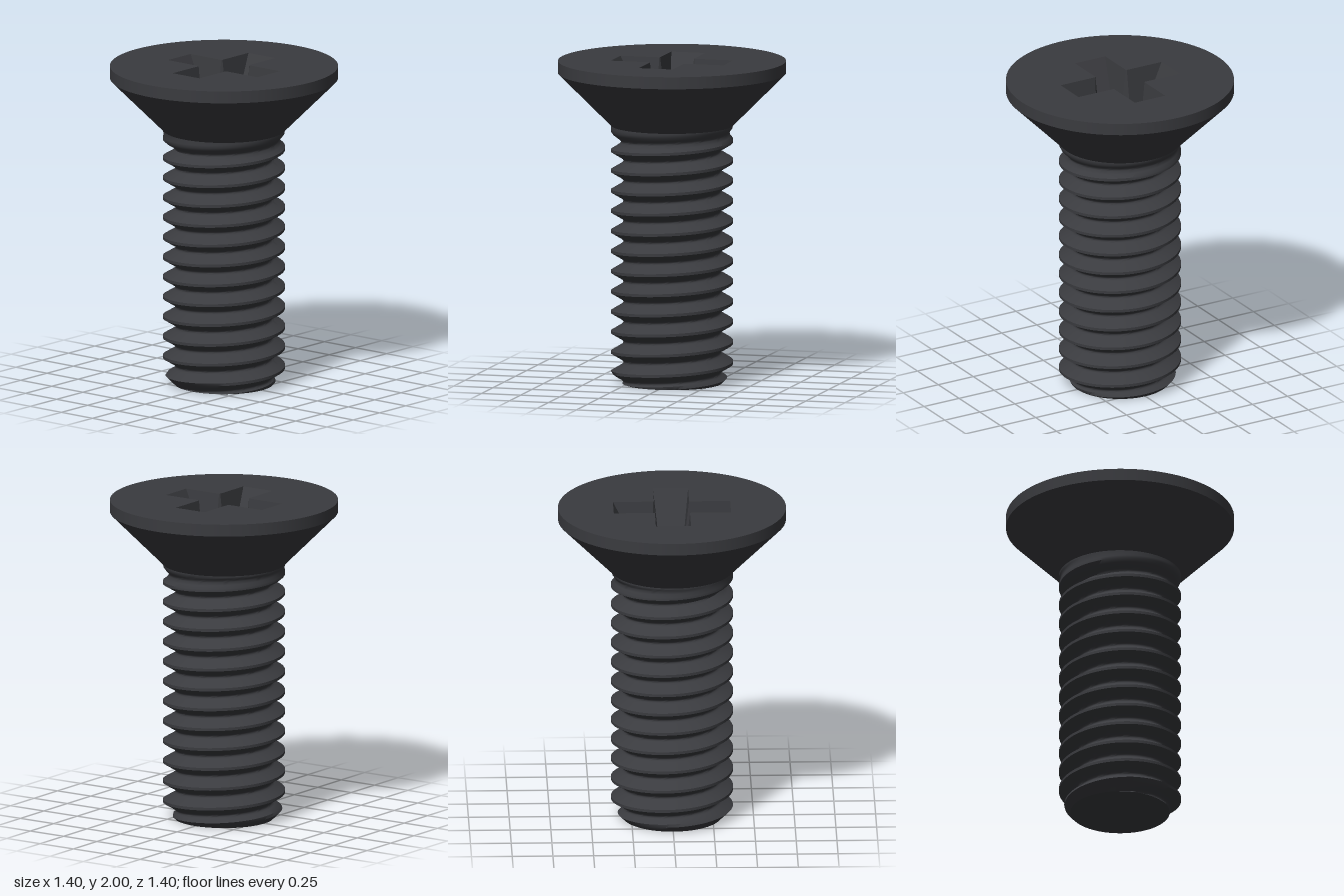
import * as THREE from 'three';
import { toCreasedNormals } from 'three/addons/utils/BufferGeometryUtils.js';

const PITCH = 0.125, MAJOR = 0.375, NECK_Y = 1.6, TIP_R = 0.305;
const HEAD_R = 0.7, RIM_Y = 1.925, TOP_Y = 2, FLOOR_Y = 1.67, DIMPLE_R = 0.12;
const SIDES = 96;
const material = new THREE.MeshStandardMaterial({ color: 0x3a3b3f });

// Thread profile over one pitch: [fraction of pitch from crest, radius]
const PROFILE = [
  [-0.07, MAJOR], [0.07, MAJOR], [0.225, 0.3425], [0.38, 0.31], [0.44, 0.301],
  [0.5, 0.298], [0.56, 0.301], [0.62, 0.31], [0.775, 0.3425],
];
PROFILE[2][1] = PROFILE[8][1] = (MAJOR + 0.31) / 2;

function part(name, geometry) {
  const mesh = new THREE.Mesh(geometry, material);
  mesh.name = name;
  return mesh;
}

const lathe = (...points) =>
  new THREE.LatheGeometry(points.map(([r, y]) => new THREE.Vector2(r, y)), SIDES);

// Flat shape laid horizontally, facing up
const flat = (shape, y) =>
  new THREE.ShapeGeometry(shape, SIDES).rotateX(-Math.PI / 2).translate(0, y, 0);

function disc(radius) {
  const shape = new THREE.Shape();
  shape.absarc(0, 0, radius, 0, Math.PI * 2);
  return shape;
}

// Right-handed helical surface, chamfered at the tip and running out at the neck
function threadGeometry() {
  const positions = [], index = [];
  const rows = [];
  for (let k = -2; k <= 13; k++) for (const [s, r] of PROFILE) rows.push([k + s, r]);
  for (const [t, r] of rows) {
    for (let i = 0; i <= SIDES; i++) {
      const turn = i / SIDES, a = turn * Math.PI * 2;
      const y = THREE.MathUtils.clamp(PITCH * (t + turn), 0, NECK_Y);
      const depth = THREE.MathUtils.clamp((1.59 - y) / 0.11, 0, 1);
      let radius = Math.min(MAJOR - (MAJOR - r) * depth, TIP_R + y);
      if (y === 0) radius = TIP_R;
      positions.push(radius * Math.cos(a), y, -radius * Math.sin(a));
    }
  }
  const height = (v) => positions[v * 3 + 1];
  const face = (a, b, c) => {
    if (height(a) !== height(b) || height(b) !== height(c)) index.push(a, b, c);
  };
  for (let j = 0; j < rows.length - 1; j++) {
    for (let i = 0; i < SIDES; i++) {
      const a = j * (SIDES + 1) + i, d = a + SIDES + 1;
      face(a, a + 1, d + 1);
      face(a, d + 1, d);
    }
  }
  const geometry = new THREE.BufferGeometry();
  geometry.setAttribute('position', new THREE.Float32BufferAttribute(positions, 3));
  geometry.setIndex(index);
  return toCreasedNormals(geometry, 0.8);
}

// Cross outline with cut inner corners, built from one quadrant
function crossOutline(reach, half, corner) {
  const quadrant = [[reach, half], [corner, half], [half, corner], [half, reach]];
  const points = [];
  for (let q = 0; q < 4; q++) {
    for (const [x, y] of quadrant) {
      points.push(new THREE.Vector2(x, y).rotateAround(new THREE.Vector2(), q * Math.PI / 2));
    }
  }
  return points;
}

// Tapered walls joining two outlines, facing inward
function recessWalls(upper, lower) {
  const positions = [];
  const put = (p, y) => positions.push(p.x, y, -p.y);
  upper.forEach((_, i) => {
    const j = (i + 1) % upper.length;
    put(upper[i], TOP_Y); put(upper[j], TOP_Y); put(lower[j], FLOOR_Y);
    put(upper[i], TOP_Y); put(lower[j], FLOOR_Y); put(lower[i], FLOOR_Y);
  });
  const geometry = new THREE.BufferGeometry();
  geometry.setAttribute('position', new THREE.Float32BufferAttribute(positions, 3));
  geometry.computeVertexNormals();
  return geometry;
}

export function createModel() {
  const screw = new THREE.Group();
  screw.name = 'countersunkScrew';

  // Threaded shank and its flat tip
  const shank = new THREE.Group();
  shank.name = 'shank';
  shank.add(
    part('thread', threadGeometry()),
    part('tip', new THREE.CircleGeometry(TIP_R, SIDES).rotateX(Math.PI / 2)),
  );

  // Countersunk head with a cross opening in its top
  const mouth = crossOutline(0.36, 0.108, 0.113);
  const base = crossOutline(0.19, 0.07, 0.12);
  const topShape = disc(HEAD_R);
  topShape.holes.push(new THREE.Path(mouth));
  const head = new THREE.Group();
  head.name = 'head';
  head.add(
    part('headCone', lathe([MAJOR, NECK_Y], [HEAD_R, RIM_Y])),
    part('headRim', lathe([HEAD_R, RIM_Y], [HEAD_R, TOP_Y])),
    part('headTop', flat(topShape, TOP_Y)),
  );

  // Driver recess: tapered walls, floor and conical dimple
  const floorShape = new THREE.Shape(base);
  floorShape.holes.push(new THREE.Path().absarc(0, 0, DIMPLE_R, 0, Math.PI * 2));
  const recess = new THREE.Group();
  recess.name = 'driverRecess';
  recess.add(
    part('recessWalls', recessWalls(mouth, base)),
    part('recessFloor', flat(floorShape, FLOOR_Y)),
    part('recessDimple', lathe([DIMPLE_R, FLOOR_Y], [0, FLOOR_Y - 0.04])),
  );
  head.add(recess);

  screw.add(shank, head);
  return screw;
}
